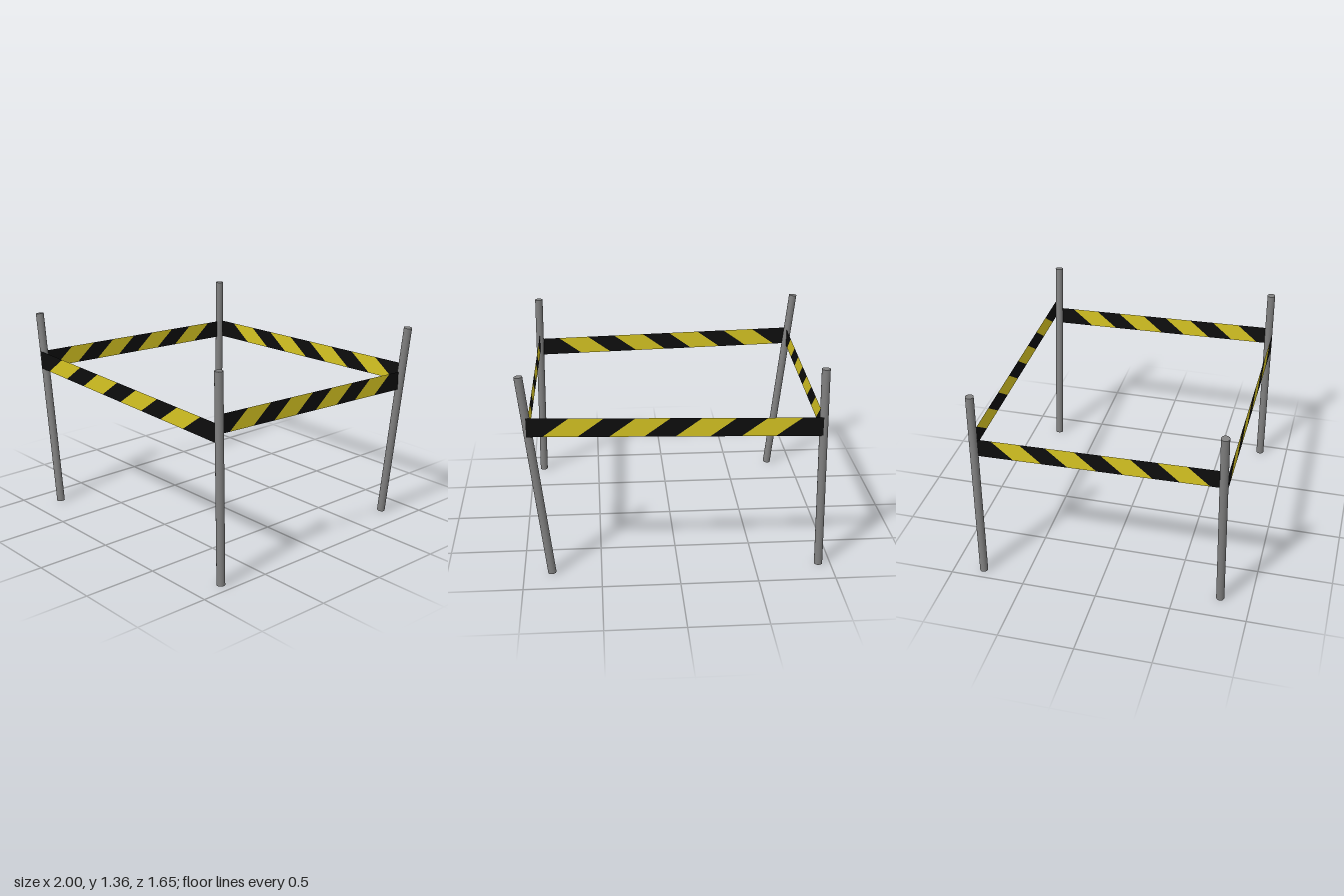
import * as THREE from 'three';

const grey = new THREE.MeshStandardMaterial({ color: 0x808080 });
const yellow = new THREE.MeshStandardMaterial({ color: 0xd6c422, side: THREE.DoubleSide });
const black = new THREE.MeshStandardMaterial({ color: 0x0d0d0d, side: THREE.DoubleSide });

const POST_RADIUS = 0.027;
const TAPE_HEIGHT = 0.123;

// Round post running from its foot to its head
function post(name, foot, head) {
  const axis = head.clone().sub(foot);
  const mesh = new THREE.Mesh(new THREE.CylinderGeometry(POST_RADIUS, POST_RADIUS, axis.length(), 24), grey);
  mesh.position.copy(foot).add(head).multiplyScalar(0.5);
  mesh.quaternion.setFromUnitVectors(new THREE.Vector3(0, 1, 0), axis.normalize());
  mesh.name = name;
  return mesh;
}

// One colour of the tape: slanted quads between pairs of [bottom, top] cut positions
function stripes(name, start, end, spans, material) {
  const positions = [], index = [];
  const add = (t, up) => {
    const p = start.clone().lerp(end, t);
    positions.push(p.x, p.y + up * TAPE_HEIGHT / 2, p.z);
  };
  spans.forEach(([a, b], i) => {
    add(a[0], -1); add(b[0], -1); add(b[1], 1); add(a[1], 1);
    const n = i * 4;
    index.push(n, n + 1, n + 2, n, n + 2, n + 3);
  });
  const geometry = new THREE.BufferGeometry();
  geometry.setAttribute('position', new THREE.Float32BufferAttribute(positions, 3));
  geometry.setIndex(index);
  geometry.computeVertexNormals();
  const mesh = new THREE.Mesh(geometry, material);
  mesh.name = name;
  return mesh;
}

// Warning tape: four yellow stripes between five black ones
function tape(name, start, end) {
  const cuts = [[0, 0]];
  for (let k = 0; k < 4; k++) {
    for (const width of [0, 0.117]) {
      const top = 0.142 + 0.223 * k + width;
      cuts.push([top - 0.09, top]);
    }
  }
  cuts.push([1, 1]);
  const spans = cuts.slice(1).map((cut, i) => [cuts[i], cut]);
  const group = new THREE.Group();
  group.name = name;
  group.add(
    stripes('blackStripes', start, end, spans.filter((_, i) => i % 2 === 0), black),
    stripes('yellowStripes', start, end, spans.filter((_, i) => i % 2 === 1), yellow)
  );
  return group;
}

export function createModel() {
  const model = new THREE.Group();
  model.name = 'tapeBarrier';
  const v = (x, y, z) => new THREE.Vector3(x, y, z);

  // Front and back are the same half turned about y: s = 1 front, s = -1 back
  for (const [side, s] of [['front', 1], ['back', -1]]) {
    model.add(post(side + 'LeaningPost', v(-0.82 * s, 0.003, 0.8 * s), v(-0.973 * s, 1.357, 0.8 * s)));
    model.add(post(side + 'UprightPost', v(0.922 * s, 0, 0.8 * s), v(0.903 * s, 1.36, 0.8 * s)));
    model.add(tape(side + 'Tape', v(-0.94 * s, 1.034, 0.827 * s), v(0.902 * s, 0.987, 0.827 * s)));
  }

  // Side tapes both drop towards the back
  model.add(tape('leftTape', v(0.906, 1.034, 0.8), v(0.934, 0.987, -0.8)));
  model.add(tape('rightTape', v(-0.934, 1.034, 0.8), v(-0.906, 0.987, -0.8)));
  return model;
}
